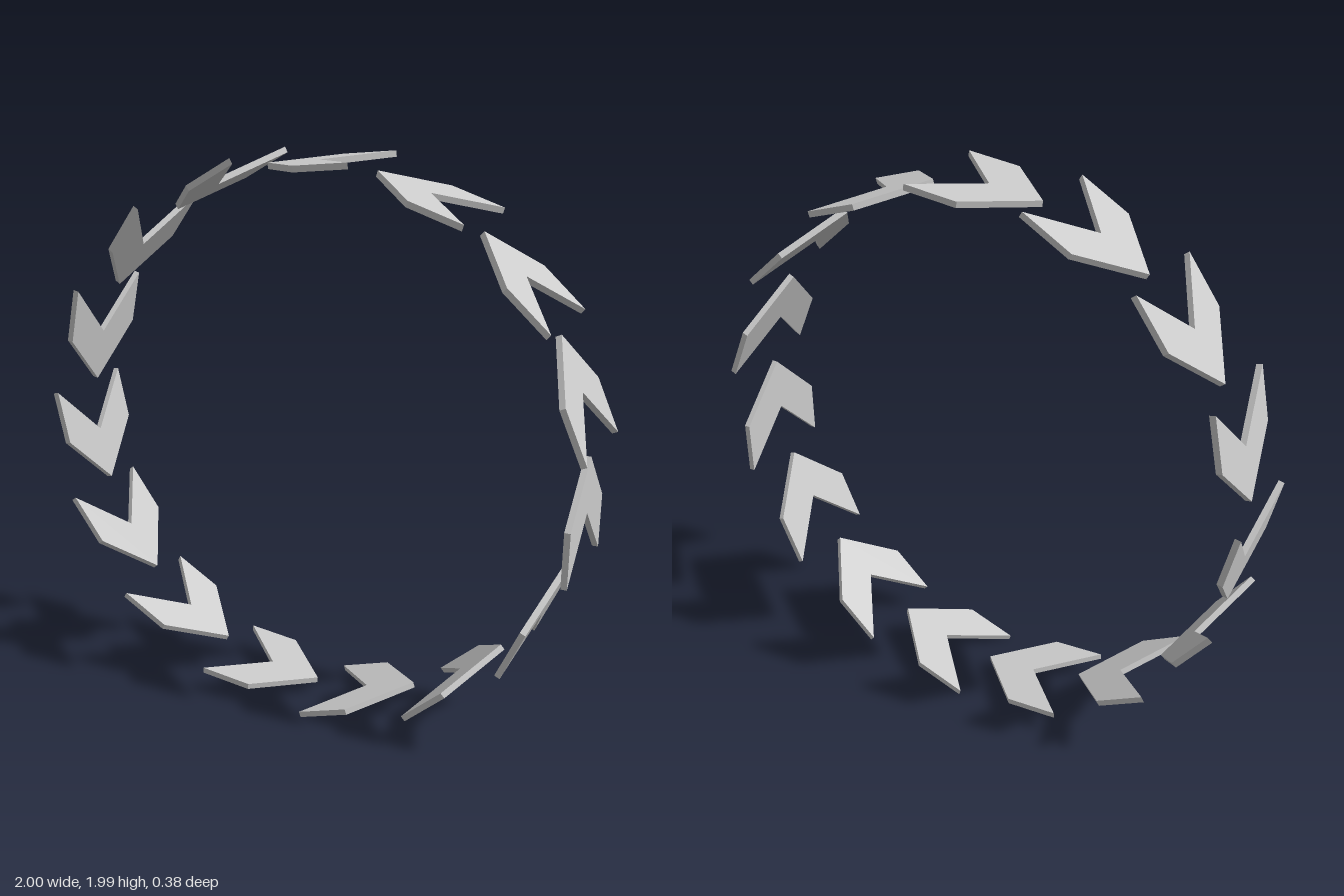
import * as THREE from 'three';

const COUNT = 15;          // chevrons around the ring
const RADIUS = 0.957;      // centre of ring to middle of a chevron
const HALF_LENGTH = 0.193;
const HALF_WIDTH = 0.19;
const THICKNESS = 0.021;
const TILT = THREE.MathUtils.degToRad(6); // trailing ends lift outwards

// Flat V-shaped plate, tip towards -x, lying in the xz plane
function chevronGeometry() {
  const shape = new THREE.Shape([
    new THREE.Vector2(-HALF_LENGTH, 0),
    new THREE.Vector2(0, -HALF_WIDTH),
    new THREE.Vector2(HALF_LENGTH, -HALF_WIDTH),
    new THREE.Vector2(0, 0),
    new THREE.Vector2(HALF_LENGTH, HALF_WIDTH),
    new THREE.Vector2(0, HALF_WIDTH),
  ]);
  const geometry = new THREE.ExtrudeGeometry(shape, { depth: THICKNESS, bevelEnabled: false });
  geometry.translate(0, 0, -THICKNESS / 2);
  geometry.rotateX(-Math.PI / 2);
  return geometry;
}

export function createModel() {
  const model = new THREE.Group();
  model.name = 'chevronRing';
  const material = new THREE.MeshStandardMaterial({ color: 0xcccccc, flatShading: true });
  const geometry = chevronGeometry();

  // Chevrons spaced evenly clockwise from the top
  for (let i = 0; i < COUNT; i++) {
    const turn = (-i * 2 * Math.PI) / COUNT;
    const chevron = new THREE.Mesh(geometry, material);
    chevron.name = `chevron${i + 1}`;
    chevron.position.set(-Math.sin(turn) * RADIUS, Math.cos(turn) * RADIUS, 0);
    chevron.rotation.z = turn + TILT;
    model.add(chevron);
  }

  // Stand on the ground, centred
  model.updateMatrixWorld(true);
  const box = new THREE.Box3().setFromObject(model, true);
  const centre = box.getCenter(new THREE.Vector3());
  model.position.set(-centre.x, -box.min.y, -centre.z);
  return model;
}
